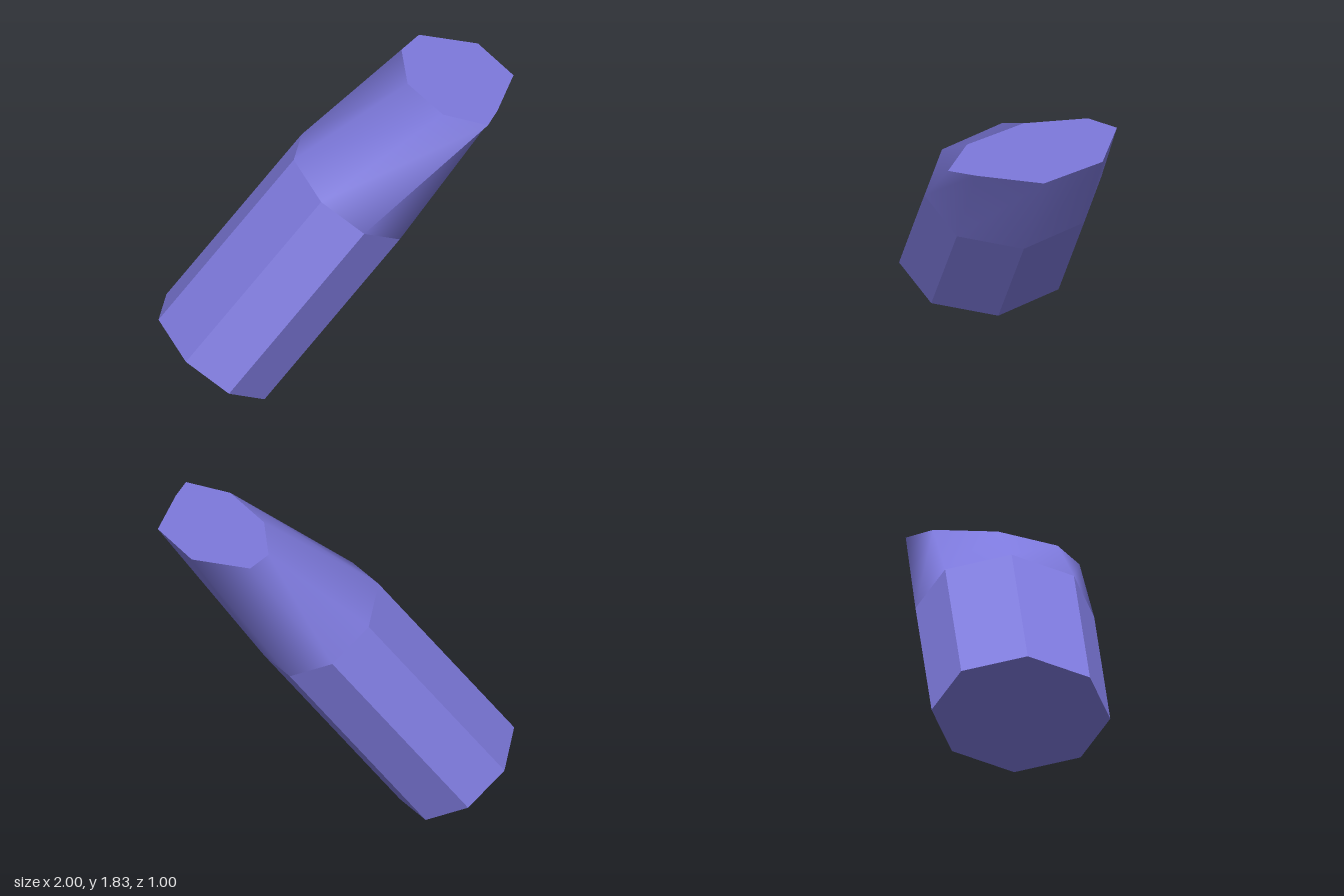
import * as THREE from 'three';

const SIDES = 8;

// Cross-sections, running from -x round by +z, +x and -z
const slanted = (cx, cy) => {
  const ring = [];
  const across = [-1, -0.69, 0, 0.69, 1, 0.69, 0, -0.69];
  const depth = [0, 0.36, 0.5, 0.36, 0, -0.36, -0.5, -0.36];
  for (let i = 0; i < SIDES; i++) {
    ring.push([cx + 0.32 * across[i], cy - 0.207 * across[i], depth[i]]);
  }
  return ring;
};
const foot = slanted(-0.68, 0.21);
const waist = slanted(0.08, 1.185);
const tip = [
  [0.4, 0], [0.545, 0.35], [0.775, 0.5], [0.85, 0.357],
  [0.995, 0], [0.85, -0.36], [0.54, -0.5], [0.42, -0.36],
].map(([x, z]) => [x, 1.83, z]);

// Wall joining two rings, faceted or smooth
function wall(lower, upper, smooth) {
  const index = [];
  for (let i = 0; i < SIDES; i++) {
    const j = (i + 1) % SIDES;
    index.push(i, j, SIDES + j, i, SIDES + j, SIDES + i);
  }
  let geo = new THREE.BufferGeometry();
  geo.setAttribute('position', new THREE.Float32BufferAttribute([...lower, ...upper].flat(), 3));
  geo.setIndex(index);
  if (!smooth) geo = geo.toNonIndexed();
  geo.computeVertexNormals();
  return geo;
}

// Flat end face, filled as a fan
function cap(ring, up) {
  const index = [];
  for (let i = 1; i < SIDES - 1; i++) index.push(0, up ? i : i + 1, up ? i + 1 : i);
  const geo = new THREE.BufferGeometry();
  geo.setAttribute('position', new THREE.Float32BufferAttribute(ring.flat(), 3));
  geo.setIndex(index);
  geo.computeVertexNormals();
  return geo;
}

export function createModel() {
  const group = new THREE.Group();
  group.name = 'leaningCrystal';
  const violet = new THREE.MeshStandardMaterial({ color: 0x7d79dc, side: THREE.DoubleSide });
  violet.name = 'violet';

  const add = (name, geo) => {
    const mesh = new THREE.Mesh(geo, violet);
    mesh.name = name;
    group.add(mesh);
  };

  add('shaft', wall(foot, waist, false));
  add('shoulder', wall(waist, tip, true));
  add('bottomFace', cap(foot, false));
  add('topFace', cap(tip, true));
  return group;
}
